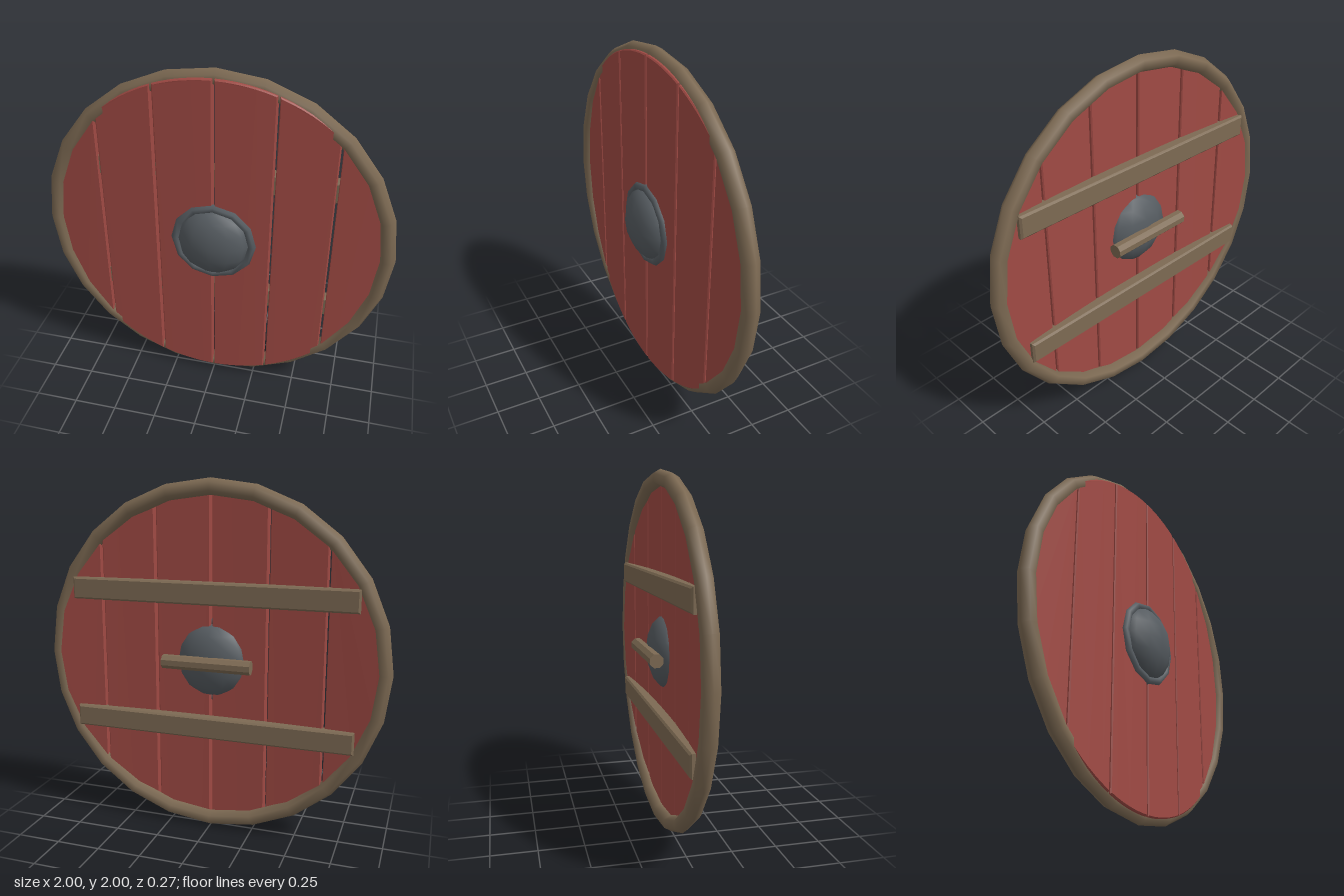
import * as THREE from 'three';

const paint = new THREE.MeshStandardMaterial({ color: 0xa04a44 });
const wood = new THREE.MeshStandardMaterial({ color: 0x7d6a53 });
const iron = new THREE.MeshStandardMaterial({ color: 0x565c61 });

const RADIUS = 0.96; // radius of the plank disc
const GAP = 0.006; // half the slot between two planks
const BEVEL = 0.006;

function addMesh(parent, name, geometry, material, x = 0, y = 0, z = 0) {
  const mesh = new THREE.Mesh(geometry, material);
  mesh.name = name;
  mesh.position.set(x, y, z);
  parent.add(mesh);
  return mesh;
}

// One vertical board between x0 and x1, cut to the disc and bowed back toward the sides
function plankGeometry(x0, x1, thickness) {
  const from = Math.acos(x1 / RADIUS), to = Math.acos(x0 / RADIUS);
  const top = [], steps = 6;
  for (let i = 0; i <= steps; i++) {
    const a = from + ((to - from) * i) / steps;
    top.push(new THREE.Vector2(RADIUS * Math.cos(a), RADIUS * Math.sin(a)));
  }
  const bottom = top.map((p) => new THREE.Vector2(p.x, -p.y)).reverse();
  const outline = [...top, ...bottom].filter((p, i, all) => p.distanceTo(all[(i + 1) % all.length]) > 1e-4);
  const geometry = new THREE.ExtrudeGeometry(new THREE.Shape(outline), {
    depth: thickness - 2 * BEVEL, bevelEnabled: true, bevelSegments: 1,
    bevelThickness: BEVEL, bevelSize: BEVEL, bevelOffset: -BEVEL,
  });
  geometry.translate(0, 0, 0.037 - thickness + BEVEL);
  const pos = geometry.attributes.position;
  for (let i = 0; i < pos.count; i++) pos.setZ(i, pos.getZ(i) - 0.05 * pos.getX(i) ** 2);
  geometry.computeVertexNormals();
  return geometry;
}

// Cross batten with chamfered back edges
function battenGeometry(length, height, depth) {
  const c = 0.01;
  const w = length / 2 - c, h = height / 2 - c;
  const shape = new THREE.Shape([[-w, -h], [w, -h], [w, h], [-w, h]].map(([x, y]) => new THREE.Vector2(x, y)));
  const geometry = new THREE.ExtrudeGeometry(shape, {
    depth: depth - 2 * c, bevelEnabled: true, bevelSegments: 1, bevelThickness: c, bevelSize: c,
  });
  return geometry.translate(0, 0, c - depth / 2);
}

export function createModel() {
  const shield = new THREE.Group();
  shield.name = 'roundShield';

  // Six painted boards with open slots between them
  const planks = new THREE.Group();
  planks.name = 'planks';
  planks.position.y = 1;
  shield.add(planks);
  const seams = [-RADIUS, -0.65, -0.325, 0, 0.325, 0.65, RADIUS];
  for (let i = 0; i < 6; i++) {
    const x0 = i === 0 ? -RADIUS : seams[i] + GAP;
    const x1 = i === 5 ? RADIUS : seams[i + 1] - GAP;
    addMesh(planks, `plank${i + 1}`, plankGeometry(x0, x1, 0.05), paint);
  }

  // Outer rim
  addMesh(shield, 'rim', new THREE.TorusGeometry(0.955, 0.045, 6, 24), wood, 0, 1, -0.02);

  // Domed boss and its ring
  const dome = addMesh(shield, 'bossDome', new THREE.SphereGeometry(0.21, 12, 8), iron, 0, 1, 0.02);
  dome.scale.z = 0.55;
  addMesh(shield, 'bossRing', new THREE.TorusGeometry(0.22, 0.025, 6, 12), iron, 0, 1, 0.032);

  // Battens across the back
  for (const [name, y] of [['upperBatten', 1.385], ['lowerBatten', 0.615]]) {
    addMesh(shield, name, battenGeometry(1.64, 0.125, 0.07), wood, 0, y, -0.04);
  }

  // Eight-sided hand grip behind the boss
  const gripWood = wood.clone();
  gripWood.flatShading = true;
  const grip = new THREE.CylinderGeometry(0.04, 0.04, 0.51, 8).rotateY(Math.PI / 8).rotateZ(Math.PI / 2);
  addMesh(shield, 'handGrip', grip, gripWood, 0, 1, -0.1);

  return shield;
}
